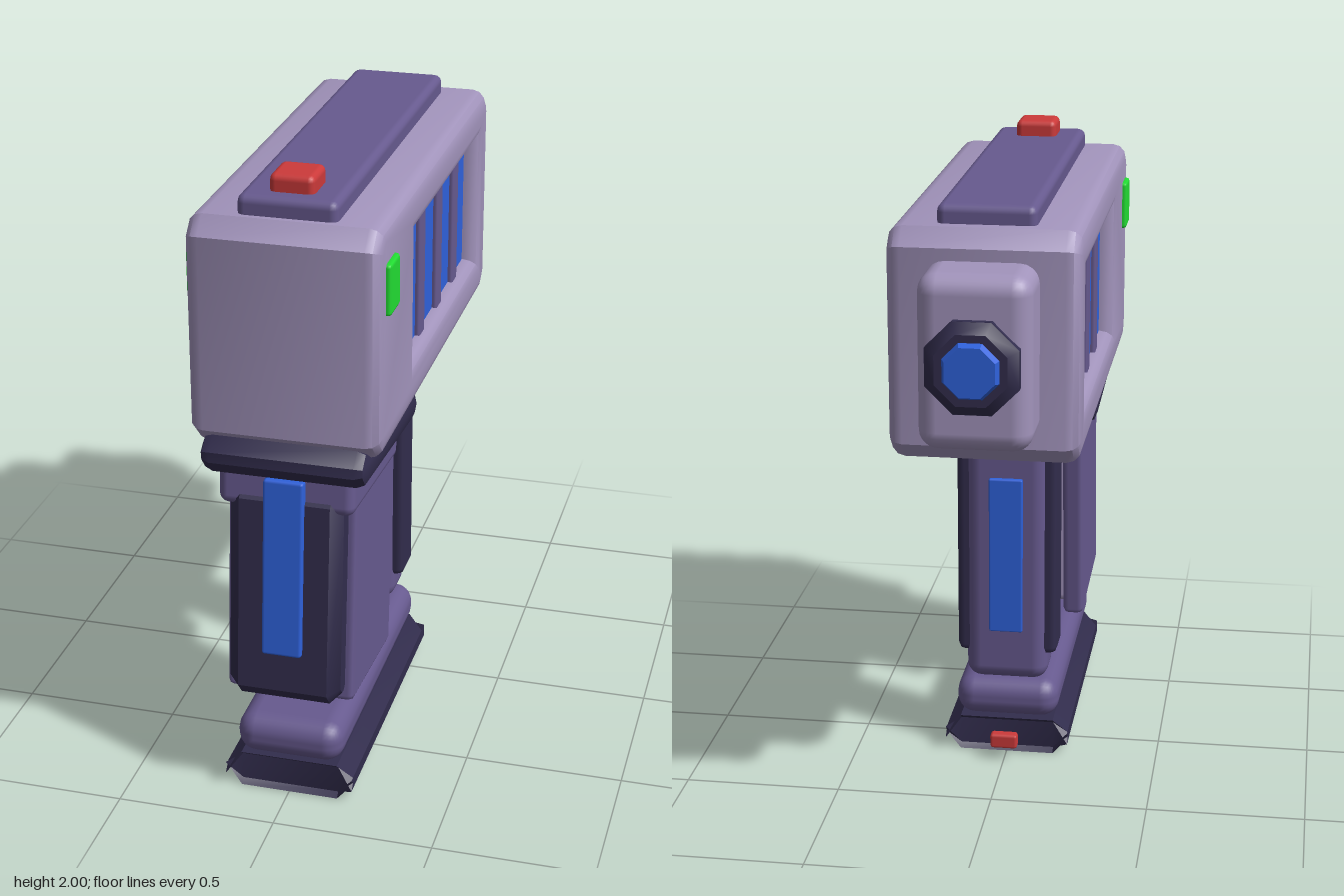
import * as THREE from 'three';
import { toCreasedNormals } from 'three/addons/utils/BufferGeometryUtils.js';
import { RoundedBoxGeometry } from 'three/addons/geometries/RoundedBoxGeometry.js';

const mat = (color) => new THREE.MeshStandardMaterial({ color });
const LIGHT = mat(0xa294bc), PURPLE = mat(0x675a8f), DARK = mat(0x322d4d);
const BLUE = mat(0x2f62dc), GREEN = mat(0x22dd33), RED = mat(0xcc3a3a);

function add(parent, name, geometry, material, x, y, z) {
  const mesh = new THREE.Mesh(geometry, material);
  mesh.name = name;
  mesh.position.set(x, y, z);
  parent.add(mesh);
  return mesh;
}

// Softly rounded block
const soft = (w, h, d, r, segments = 2) => new RoundedBoxGeometry(w, h, d, segments, r);

// Block with chamfered edges, extruded across x; window = [z0, z1, y0, y1] cuts a flared opening
function chamferBox(w, h, d, c, segments = 1, window = null) {
  const a = d / 2 - c, b = h / 2 - c, k = c * 0.6;
  const shape = new THREE.Shape([
    [-a + k, -b], [a - k, -b], [a, -b + k], [a, b - k],
    [a - k, b], [-a + k, b], [-a, b - k], [-a, -b + k],
  ].map(([u, v]) => new THREE.Vector2(u, v)));
  if (window) {
    const [z0, z1, y0, y1] = window;
    shape.holes.push(new THREE.Path([[-z1, y0], [-z1, y1], [-z0, y1], [-z0, y0]]
      .map(([u, v]) => new THREE.Vector2(u, v))));
  }
  const geo = new THREE.ExtrudeGeometry(shape, {
    depth: w - 2 * c, bevelEnabled: true, bevelSize: c, bevelThickness: c, bevelSegments: segments,
  });
  geo.translate(0, 0, c - w / 2);
  geo.rotateY(Math.PI / 2);
  return toCreasedNormals(geo, 0.6);
}

// Eight-sided disc along z, narrowing towards the back
function octagon(backRadius, frontRadius, depth) {
  const geo = new THREE.CylinderGeometry(frontRadius, backRadius, depth, 8);
  geo.rotateY(Math.PI / 8);
  geo.rotateX(Math.PI / 2);
  return toCreasedNormals(geo, 0.5);
}

function buildBody() {
  const body = new THREE.Group();
  body.name = 'body';
  add(body, 'housing', chamferBox(0.58, 0.71, 1.48, 0.045, 3, [-0.63, 0.34, -0.255, 0.255]), LIGHT, 0, 1.535, 0.1);
  add(body, 'windowPanel', new THREE.BoxGeometry(0.48, 0.46, 0.92), BLUE, 0, 1.535, -0.05);
  for (const z of [0.16, -0.075, -0.305]) {
    add(body, 'windowBar', soft(0.51, 0.45, 0.075, 0.01, 1), PURPLE, 0, 1.535, z);
  }
  add(body, 'topPlate', soft(0.3, 0.08, 1.32, 0.025), PURPLE, 0, 1.908, 0.11);
  add(body, 'topButton', soft(0.135, 0.08, 0.135, 0.02), RED, 0, 1.96, 0.65);
  for (const side of [-1, 1]) {
    add(body, 'sideButton', soft(0.04, 0.16, 0.112, 0.012, 1), GREEN, side * 0.286, 1.7, 0.714);
  }
  // Rear block and lens
  add(body, 'rearBlock', soft(0.34, 0.53, 0.24, 0.06, 3), LIGHT, 0, 1.535, -0.7);
  add(body, 'lensMount', octagon(0.15, 0.15, 0.03), DARK, 0, 1.535, -0.825);
  add(body, 'lensRing', octagon(0.115, 0.15, 0.027), DARK, 0, 1.535, -0.853);
  add(body, 'lens', octagon(0.08, 0.095, 0.03), BLUE, 0, 1.535, -0.872);
  return body;
}

// Tilted grip with side plates around a lighter core
function buildGrip() {
  const grip = new THREE.Group();
  grip.name = 'grip';
  grip.position.set(0, 0.7, 0.59);
  grip.rotation.x = -0.085;
  add(grip, 'core', soft(0.3, 0.7, 0.4, 0.03), LIGHT, 0, 0.0, -0.035);
  for (const side of [-1, 1]) {
    add(grip, 'sidePlate', soft(0.07, 0.72, 0.465, 0.02, 1), PURPLE, side * 0.167, -0.012, -0.05);
  }
  add(grip, 'upperLip', soft(0.42, 0.15, 0.55, 0.03), PURPLE, 0, 0.345, -0.015);
  add(grip, 'frontCover', chamferBox(0.35, 0.7, 0.13, 0.035), DARK, 0, -0.01, 0.205);
  add(grip, 'frontStrip', soft(0.125, 0.57, 0.04, 0.01, 1), BLUE, 0, 0.09, 0.267);
  add(grip, 'trigger', soft(0.2, 0.32, 0.08, 0.025, 1), DARK, 0, -0.005, -0.262);
  add(grip, 'collar', chamferBox(0.51, 0.115, 0.68, 0.035, 2), DARK, 0, 0.435, -0.025);
  return grip;
}

// Upright support behind the grip
function buildPost() {
  const post = new THREE.Group();
  post.name = 'post';
  add(post, 'postCore', soft(0.27, 0.94, 0.185, 0.05, 3), PURPLE, 0, 0.73, -0.057);
  for (const side of [-1, 1]) {
    add(post, 'postSidePanel', soft(0.07, 0.73, 0.14, 0.025, 1), DARK, side * 0.13, 0.715, -0.06);
  }
  add(post, 'postStrip', soft(0.11, 0.53, 0.03, 0.006, 1), BLUE, 0, 0.705, -0.15);
  return post;
}

function buildBase() {
  const base = new THREE.Group();
  base.name = 'base';
  add(base, 'baseCushion', soft(0.34, 0.135, 0.99, 0.06, 3), PURPLE, 0, 0.188, 0.345);
  add(base, 'baseFoot', chamferBox(0.41, 0.12, 1.085, 0.05), DARK, 0, 0.06, 0.342);
  add(base, 'baseLatch', soft(0.09, 0.05, 0.04, 0.01, 1), RED, 0, 0.068, -0.2);
  return base;
}

export function createModel() {
  const model = new THREE.Group();
  model.name = 'handheldDevice';
  model.add(buildBody(), buildGrip(), buildPost(), buildBase());
  return model;
}
